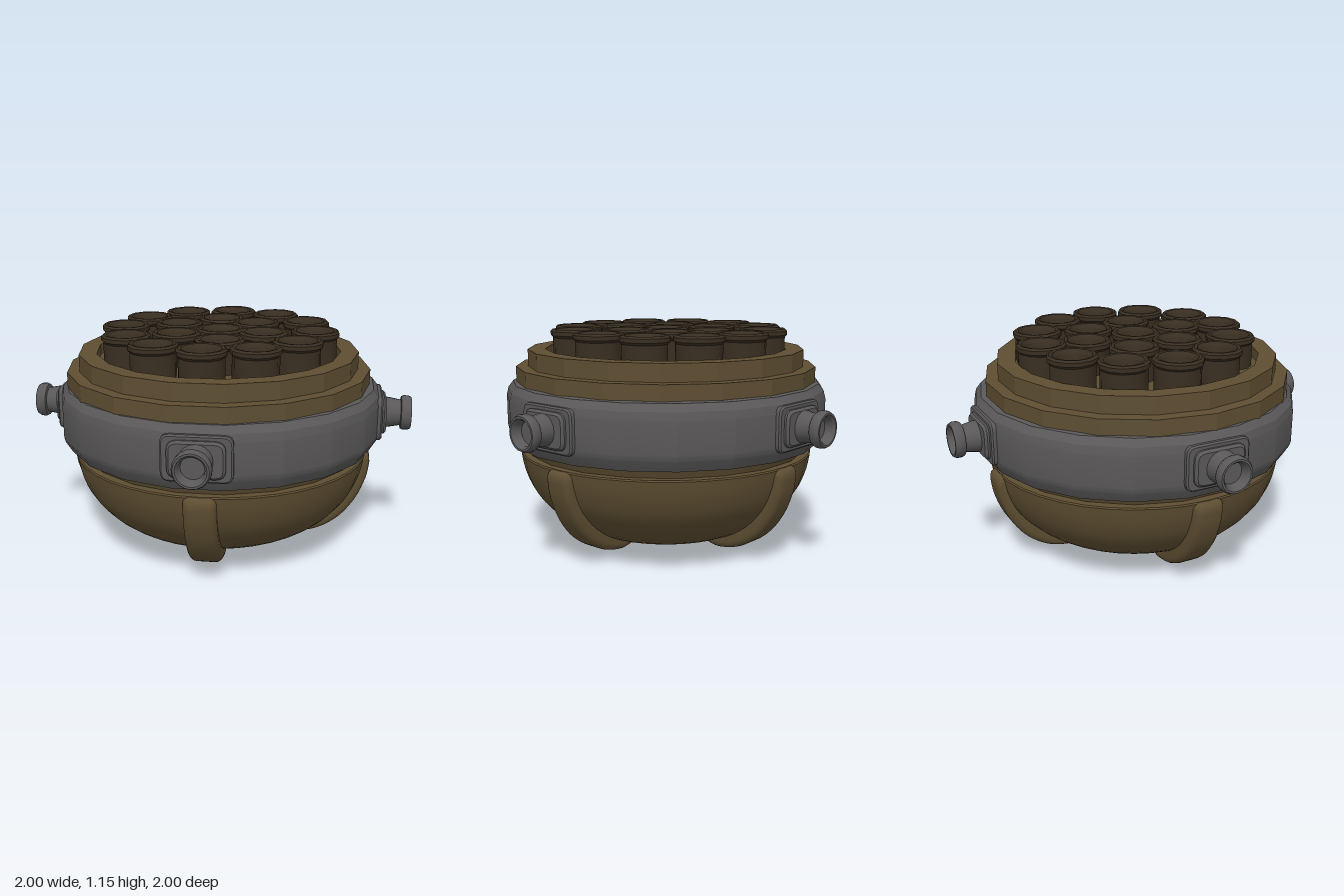
import * as THREE from 'three';
import { toCreasedNormals } from 'three/addons/utils/BufferGeometryUtils.js';

const rad = THREE.MathUtils.degToRad;

export function createModel() {
  const model = new THREE.Group();
  const mat = (name, color) => {
    const m = new THREE.MeshStandardMaterial({ color });
    m.name = name;
    return m;
  };
  const olive = mat('olive brown', 0x5e4e32);
  const steel = mat('dark steel', 0x5a5858);
  const dark = mat('dark brown', 0x3a2f22);

  const add = (parent, name, geo, material) => {
    const mesh = new THREE.Mesh(geo, material);
    mesh.name = name;
    parent.add(mesh);
    return mesh;
  };
  // Turned profile, listed from the bottom, up the outside, to the top
  const turned = (pts, sides, startDeg, creaseDeg) => toCreasedNormals(
    new THREE.LatheGeometry(pts.map(([r, y]) => new THREE.Vector2(r, y)), sides, rad(startDeg)), rad(creaseDeg));

  // Rounded lower bowl with a ledge at the rim
  const bowlCurve = new THREE.SplineCurve([
    [0, 0], [0.13, 0.01], [0.27, 0.042], [0.45, 0.098], [0.6, 0.185], [0.705, 0.3], [0.755, 0.41], [0.775, 0.505],
  ].map(([x, y]) => new THREE.Vector2(x, y)));
  const bowlProfile = bowlCurve.getPoints(24).map(p => [Math.max(p.x, 0), p.y]);
  bowlProfile[0] = [0, 0];
  add(model, 'bowl', turned([...bowlProfile, [0.77, 0.512], [0.7, 0.512]], 40, 0, 40), olive);
  add(model, 'neck', turned([[0.73, 0.5], [0.757, 0.57]], 20, 9, 25), olive);

  // Four rounded ribs running down the bowl
  const ribShape = new THREE.Shape();
  ribShape.moveTo(0.7, 0.51);
  ribShape.lineTo(0.77, 0.51);
  ribShape.quadraticCurveTo(0.8, 0.51, 0.8, 0.46);
  ribShape.splineThru([[0.785, 0.37], [0.735, 0.25], [0.65, 0.14], [0.54, 0.068], [0.43, 0.042], [0.36, 0.048], [0.3, 0.07]]
    .map(([x, y]) => new THREE.Vector2(x, y)));
  ribShape.lineTo(0.34, 0.15);
  ribShape.lineTo(0.52, 0.22);
  ribShape.lineTo(0.65, 0.36);
  const bevel = 0.035;
  const ribGeo = new THREE.ExtrudeGeometry(ribShape, {
    depth: 0.09, bevelEnabled: true, bevelSize: bevel, bevelThickness: bevel,
    bevelOffset: -bevel, bevelSegments: 4, curveSegments: 4,
  });
  ribGeo.translate(0, 0, -0.045);
  const smoothRib = toCreasedNormals(ribGeo, rad(45));
  for (let i = 0; i < 4; i++) {
    add(model, 'rib', smoothRib, olive).rotation.y = i * Math.PI / 2;
  }

  // Chamfered steel band
  add(model, 'band', turned([
    [0.72, 0.56], [0.805, 0.56], [0.838, 0.615], [0.845, 0.64], [0.845, 0.8], [0.835, 0.84], [0.808, 0.875], [0.7, 0.885],
  ], 20, 9, 20), steel);

  // Two faceted tiers with a shallow well in the upper one
  const tiers = new THREE.Group();
  tiers.name = 'tiers';
  tiers.position.set(-0.01, 0, 0.01);
  model.add(tiers);
  add(tiers, 'lowerTier', turned([[0.79, 0.86], [0.79, 0.955], [0.7, 0.955]], 18, 10, 5), olive);
  add(tiers, 'upperTier', turned([[0.727, 0.95], [0.727, 1.043], [0.635, 1.043], [0.635, 0.99], [0, 0.99]], 18, 10, 5), olive);

  // Clustered tubes: one in the middle, six around it, twelve outside
  const spots = [[0, 0.01], [-0.03, -0.28], [0.17, -0.18], [0.23, 0.07], [0.03, 0.27], [-0.21, 0.14], [-0.24, -0.12]];
  for (let i = 0; i < 12; i++) {
    const a = rad(i * 30 + 2);
    spots.push([-0.01 + 0.5 * Math.sin(a), -0.01 - 0.5 * Math.cos(a)]);
  }
  const tubeGeo = turned([
    [0.115, 0.97], [0.115, 1.11], [0.126, 1.122], [0.126, 1.142], [0.115, 1.152],
    [0.1, 1.15], [0.086, 1.13], [0.08, 1.06], [0, 1.06],
  ], 12, 0, 35);
  spots.forEach(([x, z], i) => {
    const tube = add(model, 'tube', tubeGeo, dark);
    tube.position.set(x, 0, z);
    tube.rotation.y = i * 0.4;
  });

  // Four side mounts: stacked rounded plates and a flanged hollow knob
  const plate = (w, h, r, z0, z1, b) => {
    const s = new THREE.Shape();
    const x = w / 2, y = h / 2;
    s.moveTo(-x + r, -y);
    s.lineTo(x - r, -y);
    s.quadraticCurveTo(x, -y, x, -y + r);
    s.lineTo(x, y - r);
    s.quadraticCurveTo(x, y, x - r, y);
    s.lineTo(-x + r, y);
    s.quadraticCurveTo(-x, y, -x, y - r);
    s.lineTo(-x, -y + r);
    s.quadraticCurveTo(-x, -y, -x + r, -y);
    const g = new THREE.ExtrudeGeometry(s, {
      depth: z1 - z0 - b, bevelSize: b, bevelThickness: b, bevelOffset: -b, bevelSegments: 1, curveSegments: 4,
    });
    g.translate(0, 0, z0);
    return toCreasedNormals(g, rad(30));
  };
  const basePlate = plate(0.335, 0.225, 0.045, 0.79, 0.848, 0.008);
  const topPlate = plate(0.27, 0.18, 0.05, 0.83, 0.87, 0.012);
  const knobGeo = turned([
    [0.082, 0.85], [0.078, 0.885], [0.067, 0.945], [0.084, 0.948], [0.09, 0.96], [0.09, 0.985],
    [0.082, 1.0], [0.072, 1.0], [0.06, 0.985], [0.055, 0.95], [0, 0.95],
  ], 20, 0, 40);
  knobGeo.rotateX(Math.PI / 2);
  for (let i = 0; i < 4; i++) {
    const mount = new THREE.Group();
    mount.name = 'sideMount';
    mount.position.y = 0.725;
    mount.rotation.y = i * Math.PI / 2;
    add(mount, 'basePlate', basePlate, steel);
    add(mount, 'topPlate', topPlate, steel);
    add(mount, 'knob', knobGeo, steel);
    model.add(mount);
  }
  return model;
}
